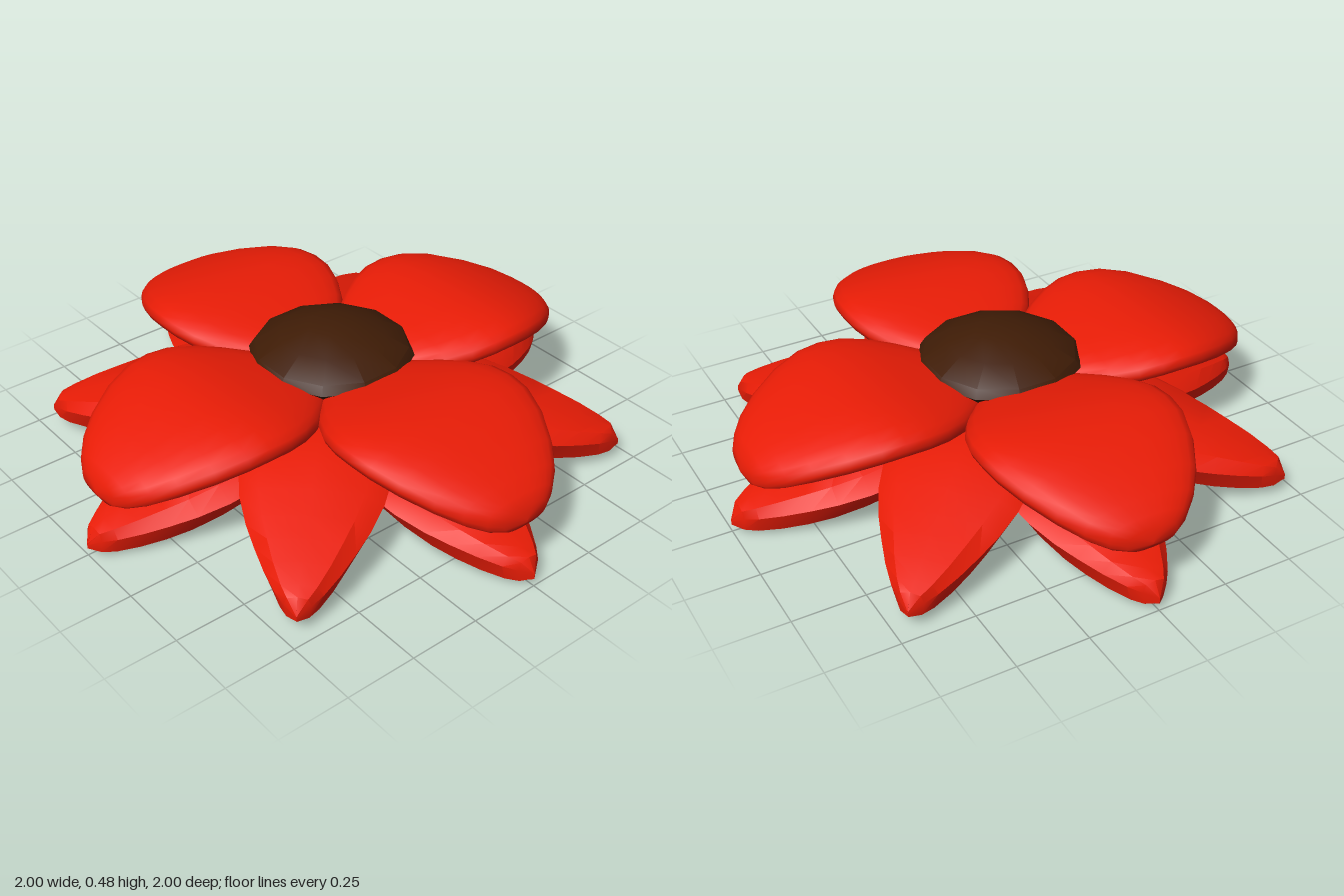
import * as THREE from 'three';
import { toCreasedNormals } from 'three/addons/utils/BufferGeometryUtils.js';

const red = new THREE.MeshStandardMaterial({ color: 0xe81c06 });
const brown = new THREE.MeshStandardMaterial({ color: 0x3f1c06 });

// Stations along a petal: [radius, half width, top y, bottom y]
const upperStations = [
  [0.0, 0.02, 0.31, 0.25], [0.1, 0.11, 0.345, 0.255], [0.2, 0.215, 0.38, 0.265], [0.28, 0.28, 0.4, 0.28],
  [0.36, 0.325, 0.42, 0.295], [0.44, 0.35, 0.435, 0.307], [0.52, 0.355, 0.44, 0.31], [0.6, 0.347, 0.434, 0.303],
  [0.7, 0.312, 0.411, 0.28], [0.8, 0.255, 0.373, 0.25], [0.87, 0.197, 0.34, 0.222], [0.915, 0.14, 0.31, 0.206],
  [0.94, 0.09, 0.282, 0.207], [0.95, 0, 0.235, 0.225],
];
const lowerStations = [
  [0.0, 0.04, 0.14, 0.05], [0.1, 0.09, 0.19, 0.055], [0.2, 0.15, 0.22, 0.075], [0.3, 0.205, 0.237, 0.095],
  [0.4, 0.237, 0.237, 0.1], [0.5, 0.247, 0.224, 0.085], [0.6, 0.23, 0.202, 0.058], [0.7, 0.195, 0.178, 0.03],
  [0.78, 0.158, 0.158, 0.014], [0.86, 0.118, 0.137, 0.006], [0.93, 0.075, 0.115, 0.003], [0.97, 0.043, 0.1, 0.008],
  [1.0, 0, 0.05, 0.03],
];

// Cross-sections in unit space, counter-clockwise from +x
const roundSection = Array.from({ length: 24 }, (_, i) => {
  const a = (i / 24) * Math.PI * 2, c = Math.cos(a), s = Math.sin(a);
  return [Math.sign(c) * Math.abs(c) ** 0.8, Math.sign(s) * Math.abs(s) ** 0.75];
});
const bevelSection = [[1, 0.3], [0.74, 0.85], [0, 1], [-0.74, 0.85], [-1, 0.3], [-0.8, -0.72], [0, -1], [0.8, -0.72]];

// Skin a petal pointing to +z through its stations
function petalGeometry(stations, section, lift = () => 0) {
  const n = section.length, positions = [], index = [];
  stations.forEach(([r, w, top, bottom], i) => {
    const mid = (top + bottom) / 2 + lift(r), h = (top - bottom) / 2;
    section.forEach(([u, v], j) => {
      positions.push(u * w, mid + v * h, r);
      if (i === stations.length - 1) return;
      const k = (j + 1) % n, a = i * n + j, b = i * n + k;
      index.push(a, b, a + n, b, b + n, a + n);
    });
  });
  const geometry = new THREE.BufferGeometry();
  geometry.setAttribute('position', new THREE.Float32BufferAttribute(positions, 3));
  geometry.setIndex(index);
  geometry.computeVertexNormals();
  return geometry;
}

// Four copies of a petal around the centre
function petalRing(name, geometry, startAngle) {
  const ring = new THREE.Group();
  ring.name = name + 's';
  for (let i = 0; i < 4; i++) {
    const petal = new THREE.Mesh(geometry, red);
    petal.name = name;
    petal.rotation.y = startAngle + (i * Math.PI) / 2;
    ring.add(petal);
  }
  return ring;
}

export function createModel() {
  const flower = new THREE.Group();
  flower.name = 'flower';

  // Broad rounded petals on top
  flower.add(petalRing('upperPetal', petalGeometry(upperStations, roundSection), 0));

  // Two layers of pointed, bevelled petals; the diagonal layer rises more to the centre
  const crease = 0.6;
  const lower = toCreasedNormals(petalGeometry(lowerStations, bevelSection), crease);
  const middle = toCreasedNormals(petalGeometry(lowerStations, bevelSection, (r) => 0.025 + 0.05 * (1 - r)), crease);
  flower.add(petalRing('middlePetal', middle, Math.PI / 4));
  flower.add(petalRing('lowerPetal', lower, 0));

  // Twelve-sided domed seed head
  const profile = [[0, 0.29], [0.22, 0.31], [0.284, 0.375], [0.265, 0.405], [0.18, 0.45], [0.08, 0.484], [0, 0.486]]
    .map(([x, y]) => new THREE.Vector2(x, y));
  const seedHead = new THREE.Mesh(
    toCreasedNormals(new THREE.LatheGeometry(profile, 12, Math.PI / 12), 0.6), brown);
  seedHead.name = 'seedHead';
  flower.add(seedHead);

  return flower;
}
